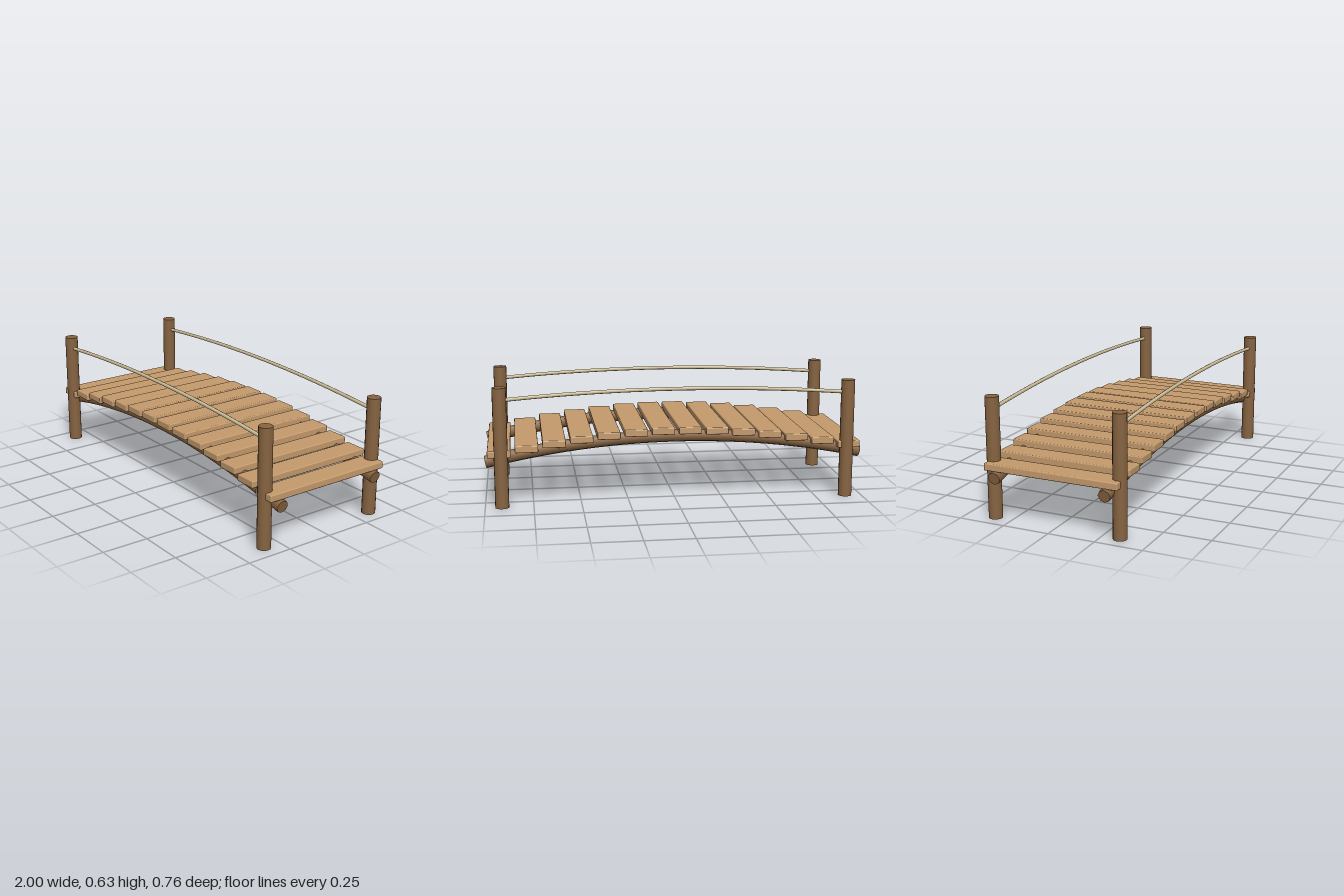
import * as THREE from 'three';
import { RoundedBoxGeometry } from 'three/addons/geometries/RoundedBoxGeometry.js';

const material = (name, color) => {
  const m = new THREE.MeshStandardMaterial({ color });
  m.name = name;
  return m;
};

// Shallow arch through both ends and a raised middle, sampled evenly in x
function archCurve(halfSpan, endY, midY, z) {
  const points = [];
  for (let i = 0; i <= 12; i++) {
    const t = i / 6 - 1;
    points.push(new THREE.Vector3(t * halfSpan, midY - (midY - endY) * t * t, z));
  }
  return new THREE.CatmullRomCurve3(points);
}

export function createModel() {
  const bridge = new THREE.Group();
  bridge.name = 'footbridge';

  const logWood = material('dark log wood', 0x876441);
  const plankWood = material('light plank wood', 0xc49a6c);
  const ropeFibre = material('pale rope', 0xd0c09a);

  const add = (name, geometry, mat, x = 0, y = 0, z = 0) => {
    const mesh = new THREE.Mesh(geometry, mat);
    mesh.name = name;
    mesh.position.set(x, y, z);
    bridge.add(mesh);
    return mesh;
  };

  // Deck planks, level but stepped along a cosine arch
  const plankCount = 14;
  const plankGeometry = new RoundedBoxGeometry(0.12, 0.038, 0.726, 2, 0.006);
  for (let i = 0; i < plankCount; i++) {
    const x = -0.923 + (1.846 * i) / (plankCount - 1);
    const top = 0.303 + 0.098 * Math.cos((x / 0.923) * Math.PI / 2);
    add('plank', plankGeometry, plankWood, x, top - 0.019, 0);
  }

  const postGeometry = new THREE.CylinderGeometry(0.036, 0.036, 0.63, 16);
  const capGeometry = new THREE.CircleGeometry(0.033, 8);

  for (const side of [-1, 1]) {
    // Curved log beam under the deck, with closed ends
    const beam = archCurve(0.993, 0.234, 0.345, side * 0.3);
    add('beam', new THREE.TubeGeometry(beam, 32, 0.033, 8), logWood);
    for (const end of [0, 1]) {
      const p = beam.getPoint(end);
      const outward = beam.getTangent(end).multiplyScalar(end ? 1 : -1);
      const cap = add('beamEnd', capGeometry, logWood, p.x, p.y, p.z);
      cap.lookAt(p.clone().add(outward));
    }

    // Corner posts
    for (const end of [-1, 1]) {
      add('post', postGeometry, logWood, end * 0.913, 0.315, side * 0.345);
    }

    // Rope handrail, its ends buried in the posts
    const rope = archCurve(0.913, 0.563, 0.602, side * 0.345);
    add('ropeRail', new THREE.TubeGeometry(rope, 32, 0.0098, 8), ropeFibre);
  }

  return bridge;
}
